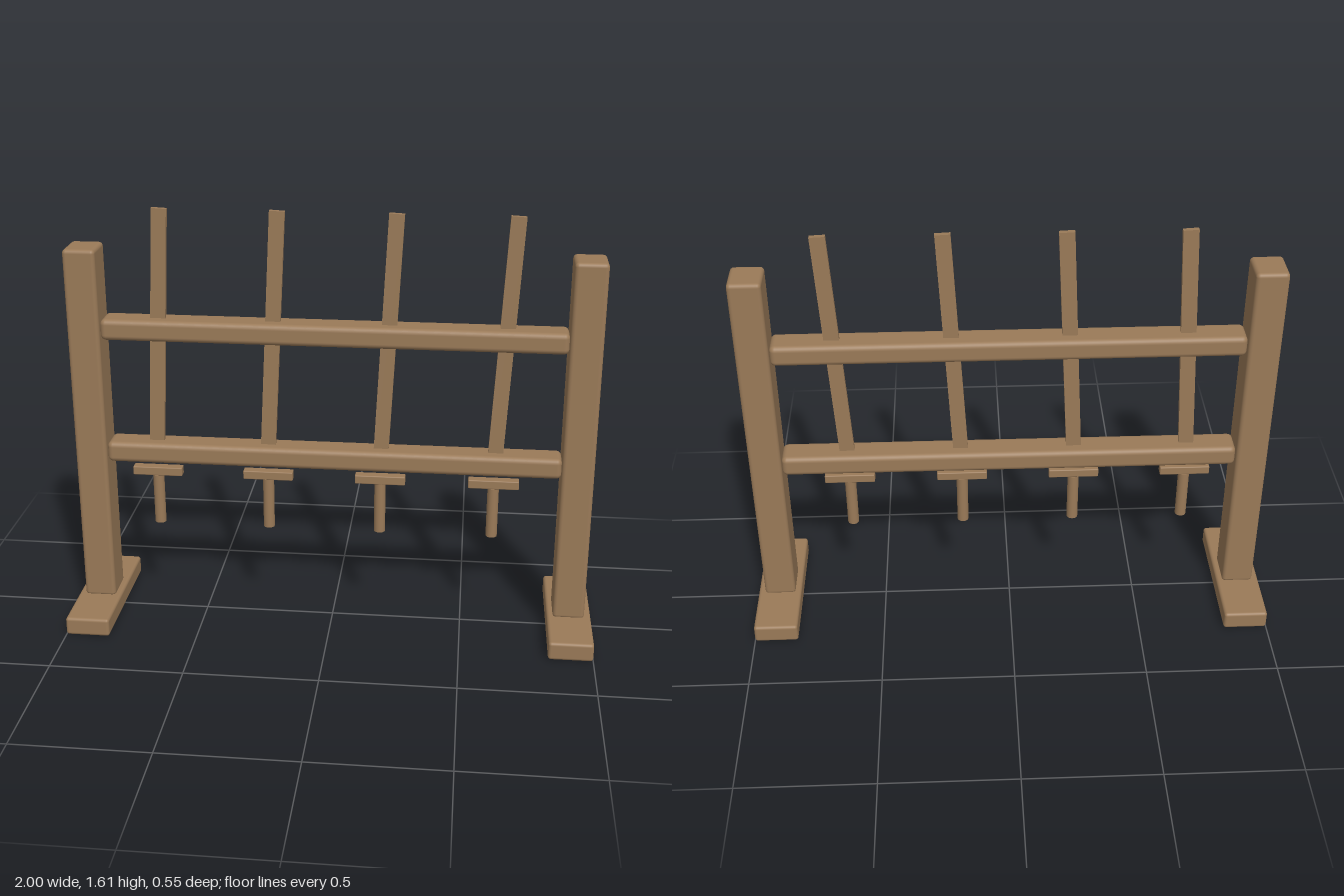
import * as THREE from 'three';
import { RoundedBoxGeometry } from 'three/addons/geometries/RoundedBoxGeometry.js';

const wood = new THREE.MeshStandardMaterial({ color: 0x9a7a58 });
wood.name = 'wood';

function add(parent, name, geometry, x, y, z = 0) {
  const mesh = new THREE.Mesh(geometry, wood);
  mesh.name = name;
  mesh.position.set(x, y, z);
  parent.add(mesh);
  return mesh;
}

const rounded = (w, h, d, r) => new RoundedBoxGeometry(w, h, d, 3, r);

export function createModel() {
  const rack = new THREE.Group();
  rack.name = 'swordRack';

  // Feet and uprights, one pair per side
  for (const [side, s] of [['left', 1], ['right', -1]]) {
    add(rack, side + 'Foot', rounded(0.168, 0.072, 0.546, 0.012), s * 0.916, 0.036);
    add(rack, side + 'Post', rounded(0.12, 1.4, 0.142, 0.015), s * 0.914, 0.765);
  }

  // Cross rails
  add(rack, 'upperRail', rounded(1.71, 0.08, 0.112, 0.02), 0, 1.16);
  add(rack, 'lowerRail', rounded(1.71, 0.08, 0.112, 0.02), 0, 0.675);

  // Hanging swords: leaning blade, crossguard and grip
  const tilt = 0.05, bladeLength = 0.95, bladeTop = 1.61;
  const bladeGeo = new THREE.BoxGeometry(0.056, bladeLength, 0.018);
  const guardGeo = rounded(0.19, 0.034, 0.038, 0.004);
  const gripGeo = new THREE.CylinderGeometry(0.0215, 0.0215, 0.2, 20);
  for (let i = 0; i < 4; i++) {
    const sword = new THREE.Group();
    sword.name = 'sword' + (i + 1);
    sword.position.x = -0.673 + i * 0.427;
    rack.add(sword);
    const blade = add(sword, 'blade', bladeGeo, 0.024, bladeTop - bladeLength / 2);
    blade.rotation.z = -tilt;
    add(sword, 'guard', guardGeo, 0, 0.588);
    add(sword, 'grip', gripGeo, 0, 0.472);
  }
  return rack;
}
